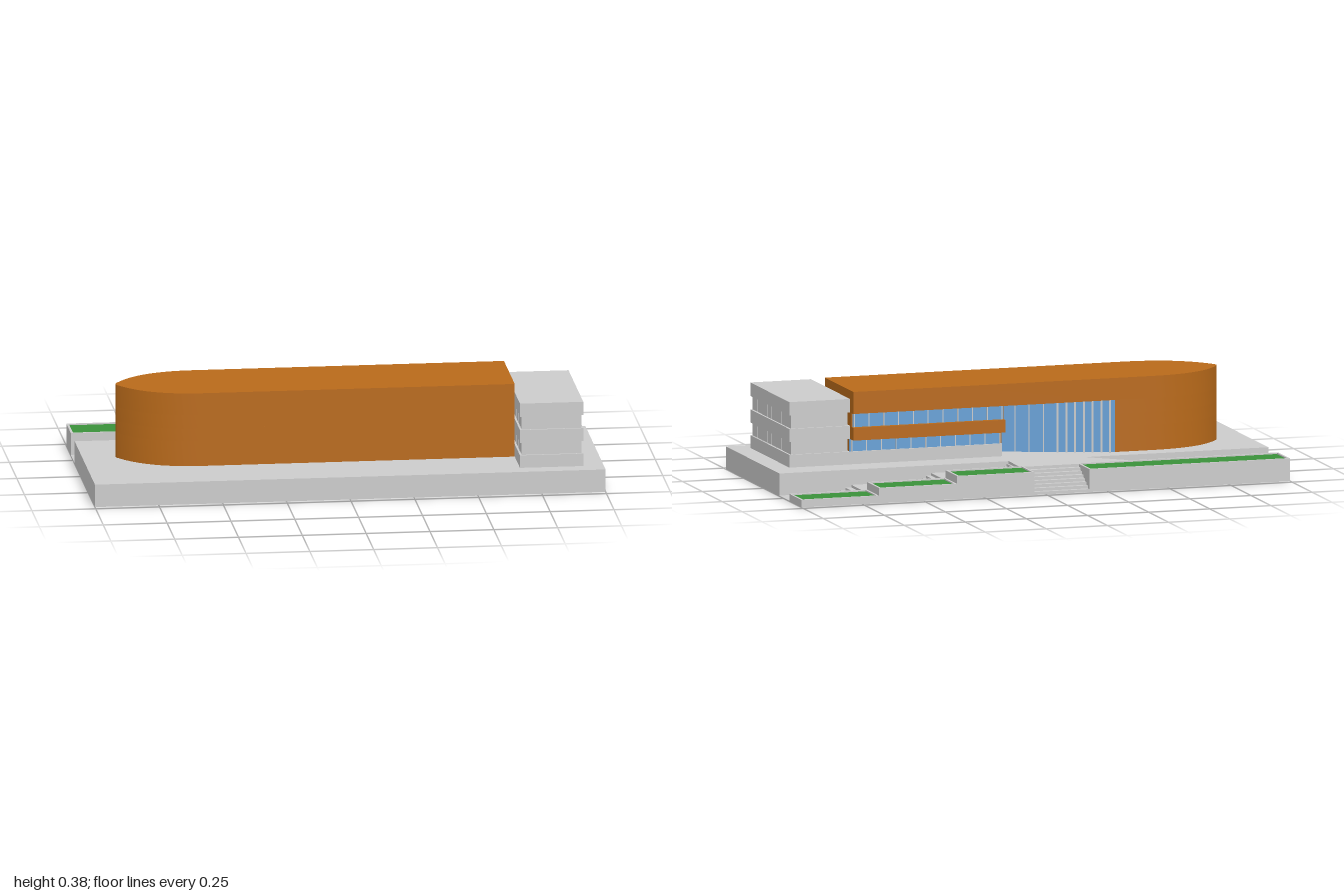
import * as THREE from 'three';
import { toCreasedNormals } from 'three/addons/utils/BufferGeometryUtils.js';

const mat = (color) => new THREE.MeshStandardMaterial({ color });
const GREY = mat(0xcccccc), BROWN = mat(0xb96a1a), BLUE = mat(0x68a1d6);
const GREEN = mat(0x3a913a);
GREEN.side = THREE.DoubleSide;

export function createModel() {
  const model = new THREE.Group();

  const group = (name) => {
    const g = new THREE.Group();
    g.name = name;
    model.add(g);
    return g;
  };
  const add = (parent, name, geo, material) => {
    const m = new THREE.Mesh(geo, material);
    m.name = name;
    parent.add(m);
    return m;
  };
  // Box given by its limits on each axis
  const box = (parent, name, material, x0, x1, y0, y1, z0, z1) => {
    const m = add(parent, name, new THREE.BoxGeometry(x1 - x0, y1 - y0, z1 - z0), material);
    m.position.set((x0 + x1) / 2, (y0 + y1) / 2, (z0 + z1) / 2);
    return m;
  };
  // Plan outline (x, -z) raised from y0 to y1
  const raise = (parent, name, material, shape, y0, y1) => {
    const geo = new THREE.ExtrudeGeometry(shape, { depth: y1 - y0, bevelEnabled: false, curveSegments: 12 });
    geo.rotateX(-Math.PI / 2).translate(0, y0, 0);
    return add(parent, name, toCreasedNormals(geo, 0.4), material);
  };

  // ---- Site: platform, plaza, ramp, terraces ----
  const G = 0.09, zPlat = -0.2, zWalk = -0.325, zEdge = -0.475;
  const site = group('site');
  box(site, 'platform', GREY, -1, 1, 0, G, zPlat, 0.473);
  box(site, 'plaza', GREY, -0.25, 0.062, 0, G, zWalk, zPlat);

  const wedge = new THREE.Shape([[-1, 0], [-0.25, 0], [-0.25, G], [-1, 0.002]].map((p) => new THREE.Vector2(...p)));
  const ramp = add(site, 'ramp', new THREE.ExtrudeGeometry(wedge, { depth: zPlat - zWalk, bevelEnabled: false }), GREY);
  ramp.position.z = zWalk;

  // Side walkway stepping down in three short flights
  const drops = [0.062, 0.07, 0.08, 0.38, 0.4, 0.415, 0.705, 0.73, 0.75, 1];
  for (let i = 0; i < 9; i++) {
    box(site, 'walkwayStep', GREY, drops[i], drops[i + 1], 0, Math.max(0.003, G - 0.01 * (i + 1)), zWalk, zPlat);
  }

  // Central stairs
  const stairs = group('stairs');
  const n = 8, run = (zWalk - zEdge) / n;
  for (let i = 0; i < n; i++) {
    box(stairs, 'stair', GREY, -0.178, 0.045, 0, (G * (i + 1)) / n, zEdge + run * i, zEdge + run * (i + 1));
  }

  // ---- Planters: rim walls around a lawn ----
  const planter = (x0, x1, top) => {
    const g = group('planter'), t = 0.009;
    box(g, 'outerWall', GREY, x0, x1, 0, top, zEdge, zEdge + t);
    box(g, 'innerWall', GREY, x0, x1, 0, top, zWalk - t, zWalk);
    box(g, 'endWall', GREY, x0, x0 + t, 0, top, zEdge + t, zWalk - t);
    box(g, 'endWall', GREY, x1 - t, x1, 0, top, zEdge + t, zWalk - t);
    const lawn = add(g, 'lawn', new THREE.PlaneGeometry(x1 - x0 - 2 * t, zWalk - zEdge - 2 * t), GREEN);
    lawn.rotation.x = -Math.PI / 2;
    lawn.position.set((x0 + x1) / 2, top - 0.005, (zEdge + zWalk) / 2);
    return g;
  };
  const longPlanter = planter(-1, -0.178, G);
  box(longPlanter, 'soil', GREY, -0.99, -0.188, 0, 0.07, zEdge + 0.009, zWalk - 0.009);
  planter(0.045, 0.362, G);
  planter(0.362, 0.682, 0.06);
  planter(0.682, 1, 0.03);

  // ---- Main hall with a rounded nose ----
  const hall = group('mainHall');
  const xEnd = 0.672, zBack = -0.122, zFront = 0.235;
  const recess = { x0: -0.41, x1: 0.05, z1: 0.035 };
  const plan = (zRear, cut) => {
    const s = new THREE.Shape();
    s.moveTo(xEnd, -zFront);
    if (cut) {
      s.lineTo(xEnd, -zRear);
      s.lineTo(recess.x1, -zRear);
      s.lineTo(recess.x1, -recess.z1);
      s.lineTo(recess.x0, -zBack);
    } else s.lineTo(xEnd, -zBack);
    s.lineTo(-0.55, -zBack);
    s.quadraticCurveTo(-0.765, -zBack, -0.865, -0.038);
    s.quadraticCurveTo(-0.875, -0.055, -0.865, -0.072);
    s.quadraticCurveTo(-0.765, -zFront, -0.55, -zFront);
    s.closePath();
    return s;
  };
  raise(hall, 'groundStorey', BROWN, plan(-0.07, true), G, 0.19);
  raise(hall, 'spandrelBand', BROWN, plan(zBack, true), 0.19, 0.24);
  raise(hall, 'upperStorey', BROWN, plan(-0.1, true), 0.24, 0.295);
  raise(hall, 'roofBand', BROWN, plan(zBack, false), 0.295, 0.382);

  // Rear window strips and low wall
  box(hall, 'rearLowWall', GREY, recess.x1, xEnd, G, 0.14, -0.08, -0.07);
  box(hall, 'lowerRearGlass', BLUE, recess.x1 + 0.005, xEnd, 0.14, 0.19, -0.074, -0.07);
  box(hall, 'upperRearGlass', BLUE, recess.x1 + 0.005, xEnd - 0.003, 0.24, 0.295, -0.104, -0.1);
  for (let i = 0; i <= 10; i++) {
    const x = recess.x1 + 0.008 + i * 0.0605;
    box(hall, 'rearMullion', GREY, x - 0.002, x + 0.002, 0.14, 0.19, -0.076, -0.07);
    box(hall, 'rearMullion', GREY, x - 0.002, x + 0.002, 0.24, 0.295, -0.106, -0.1);
  }

  // Slanted entrance glazing with fins
  const entrance = group('entrance');
  const dx = recess.x1 - recess.x0, dz = recess.z1 - zBack, len = Math.hypot(dx, dz);
  entrance.position.set(recess.x0, 0, zBack);
  entrance.rotation.y = -Math.atan2(dz, dx);
  box(entrance, 'entranceGlass', BLUE, 0.012, len - 0.004, G, 0.295, -0.003, 0.002);
  for (let i = 0; i < 7; i++) {
    const x = 0.03 + i * 0.034;
    box(entrance, 'fin', GREY, x - 0.004, x + 0.004, G, 0.295, -0.022, 0);
  }
  for (let i = 0; i < 4; i++) {
    const x = 0.29 + i * 0.055;
    box(entrance, 'entranceMullion', GREY, x - 0.002, x + 0.002, G, 0.295, -0.006, 0);
  }

  // ---- Side wing: grey bands with glass strips between ----
  const wing = group('sideWing');
  const X0 = 0.672, X1 = 0.92, Z0 = -0.08, Z1 = 0.41, inset = 0.01;
  for (const [y0, y1] of [[G, 0.14], [0.19, 0.242], [0.295, 0.348]]) {
    box(wing, 'band', GREY, X0, X1, y0, y1, Z0, Z1);
  }
  for (const [y0, y1] of [[0.14, 0.19], [0.242, 0.295]]) {
    box(wing, 'glassStrip', BLUE, X0 + inset, X1 - inset, y0, y1, Z0 + inset, Z1 - inset);
    const m = 0.002, out = inset - 0.003;
    for (let i = 0; i <= 8; i++) {
      const z = Z0 + inset + ((Z1 - Z0 - 2 * inset) * i) / 8;
      box(wing, 'sideMullion', GREY, X0 + out, X1 - out, y0, y1, z - m, z + m);
    }
    for (let i = 0; i <= 4; i++) {
      const x = X0 + inset + ((X1 - X0 - 2 * inset) * i) / 4;
      box(wing, 'endMullion', GREY, x - m, x + m, y0, y1, Z0 + out, Z1 - out);
    }
  }
  return model;
}
